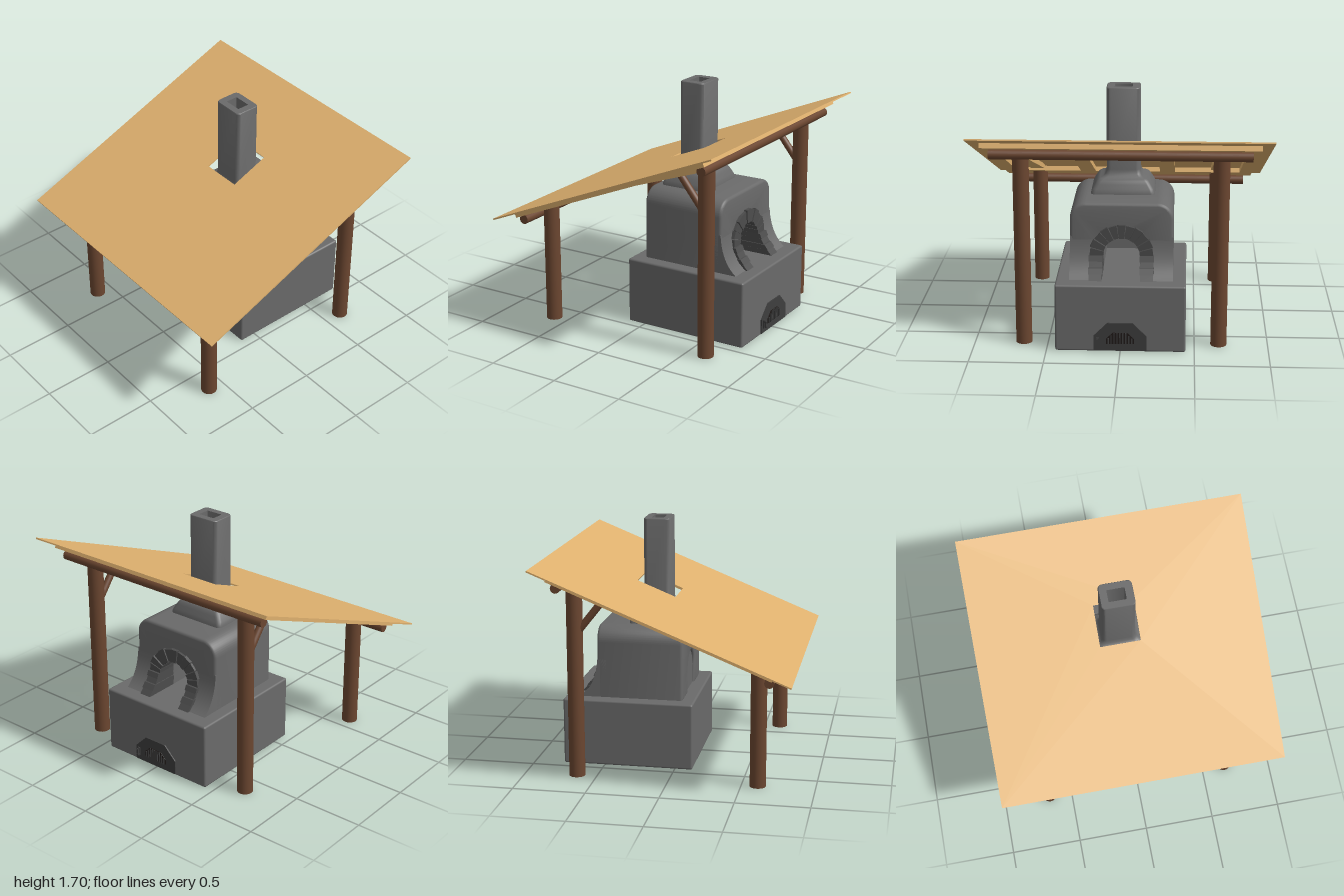
import * as THREE from 'three';
import { toCreasedNormals } from 'three/addons/utils/BufferGeometryUtils.js';
import { RoundedBoxGeometry } from 'three/addons/geometries/RoundedBoxGeometry.js';

const mat = (color) => new THREE.MeshStandardMaterial({ color });
const plank = mat(0xdeb06e), log = mat(0x6b4630), stone = mat(0x6a6a6a);
const brick = mat(0x4c4c4c), iron = mat(0x3e3e3e), soot = mat(0x1f1917);

const SLOPE = 0.404, PITCH = Math.atan(SLOPE), COS = Math.cos(PITCH), ROOF_Y = 1.1425;
const frameUnderside = (x) => ROOF_Y + SLOPE * x - 0.046;

function add(parent, name, geo, material, x = 0, y = 0, z = 0) {
  const m = new THREE.Mesh(geo, material);
  m.name = name;
  m.position.set(x, y, z);
  parent.add(m);
  return m;
}
const box = (w, h, d) => new THREE.BoxGeometry(w, h, d);
const polygon = (pts) => new THREE.Shape(pts.map(([x, y]) => new THREE.Vector2(x, y)));
const extrude = (shape, depth) =>
  new THREE.ExtrudeGeometry(shape, { depth, bevelEnabled: false, curveSegments: 12 });
const rect = (x0, x1, y0, y1) => [[x0, y0], [x1, y0], [x1, y1], [x0, y1]];

// Sloping board lying in x/z, given in plan coordinates, with rectangular holes
function board(outer, holes, thick) {
  const onSlope = (r) => polygon(r.map(([x, z]) => [x / COS, z]));
  const s = onSlope(outer);
  s.holes = holes.map(onSlope);
  return extrude(s, thick).rotateX(Math.PI / 2);
}

// Round bar between two points in a plane of constant z
function bar(x0, y0, x1, y1, r) {
  const dx = x1 - x0, dy = y1 - y0;
  return new THREE.CylinderGeometry(r, r, Math.hypot(dx, dy), 20)
    .rotateZ(Math.atan2(dy, dx) - Math.PI / 2).translate((x0 + x1) / 2, (y0 + y1) / 2, 0);
}

// Skin through rounded rectangles [y, halfX, halfZ, cornerRadius]
function loft(rings) {
  const pos = [], idx = [], n = 20;
  for (const [y, hx, hz, r] of rings)
    for (let c = 0; c < 4; c++)
      for (let k = 0; k < 5; k++) {
        const a = (c + k / 4) * Math.PI / 2;
        const sx = c === 0 || c === 3 ? 1 : -1, sz = c < 2 ? 1 : -1;
        pos.push(sx * (hx - r) + r * Math.cos(a), y, sz * (hz - r) + r * Math.sin(a));
      }
  for (let i = 0; i < rings.length - 1; i++)
    for (let j = 0; j < n; j++) {
      const a = i * n + j, b = i * n + (j + 1) % n;
      idx.push(a, a + n, b, b, a + n, b + n);
    }
  const g = new THREE.BufferGeometry();
  g.setAttribute('position', new THREE.Float32BufferAttribute(pos, 3));
  g.setIndex(idx);
  return toCreasedNormals(g, 0.7);
}

function buildRoof() {
  const roof = new THREE.Group();
  roof.name = 'roof';
  roof.position.y = ROOF_Y;
  roof.rotation.z = PITCH;
  const flueHole = rect(0.045, 0.315, -0.143, 0.143);
  add(roof, 'roofBoard', board(rect(-0.862, 0.862, -1, 1), [flueHole], 0.01), plank);
  const bays = [[-0.83, -0.35], [-0.24, 0.24], [0.35, 0.83]];
  add(roof, 'rafterFrame', board(rect(-0.74, 0.75, -0.92, 0.92),
    bays.map(([a, b]) => rect(-0.53, 0.53, a, b)), 0.034), plank, 0, -0.01);
  return roof;
}

function buildTimbers() {
  const timbers = new THREE.Group();
  timbers.name = 'timbers';
  for (const z of [-0.665, 0.665]) {
    for (const [name, x] of [['highPost', 0.637], ['lowPost', -0.612]]) {
      // post tops are cut to the roof pitch
      const g = new THREE.CylinderGeometry(0.055, 0.055, 1, 24).translate(x, 0.5, 0);
      const p = g.attributes.position;
      for (let i = 0; i < p.count; i++)
        if (p.getY(i) > 0.5) p.setY(i, frameUnderside(p.getX(i)) + 0.004);
      add(timbers, name, g, log, 0, 0, z);
    }
    add(timbers, 'brace', bar(0.62, 1.01, 0.41, 1.275, 0.025), log, 0, 0, z);
    const tie = box(1.07 / Math.cos(0.334), 0.034, 0.1).rotateZ(0.334);
    add(timbers, 'tieBeam', tie, plank, 0.085, 1.125, z);
  }
  for (const [name, x, y] of [['highPurlin', 0.712, 1.35], ['lowPurlin', -0.702, 0.778]])
    add(timbers, name, new THREE.CylinderGeometry(0.033, 0.033, 1.73, 24).rotateX(Math.PI / 2),
      log, x, y, 0);
  return timbers;
}

function buildOven() {
  const oven = new THREE.Group();
  oven.name = 'oven';
  add(oven, 'base', new RoundedBoxGeometry(0.915, 0.47, 0.88, 3, 0.014), stone, 0.3325, 0.235);
  add(oven, 'ashPit', box(0.26, 0.01, 0.8), soot, 0.58, 0.004);

  // Vaulted body with an arched mouth
  const R = 0.11, arcY = 0.61, inner = 0.13;
  const body = new THREE.Shape();
  body.moveTo(-0.35, 0.46).lineTo(-inner, 0.46).lineTo(-inner, arcY);
  body.absarc(0, arcY, inner, Math.PI, 0, true);
  body.lineTo(inner, 0.46).lineTo(0.35, 0.46).lineTo(0.35, 0.975 - R);
  body.absarc(0.35 - R, 0.975 - R, R, 0, Math.PI / 2, false);
  body.absarc(-0.35 + R, 0.975 - R, R, Math.PI / 2, Math.PI, false);
  body.closePath();
  const bev = 0.02;
  const shell = new THREE.ExtrudeGeometry(body, { depth: 0.565, curveSegments: 14,
    bevelThickness: bev, bevelSize: bev, bevelOffset: -bev, bevelSegments: 3 });
  shell.rotateY(Math.PI / 2).translate(-0.02, 0, 0);
  add(oven, 'body', toCreasedNormals(shell, 0.7), stone);
  add(oven, 'backWall', box(0.05, 0.4, 0.36), stone, 0.0, 0.64);

  // Feet sweeping forward on both sides of the mouth
  const foot = new THREE.Shape();
  foot.moveTo(0.5, 0.465).lineTo(0.69, 0.465).quadraticCurveTo(0.575, 0.55, 0.563, 0.74);
  foot.lineTo(0.5, 0.74).closePath();
  for (const z of [inner, -0.35])
    add(oven, 'frontFoot', toCreasedNormals(extrude(foot, 0.22), 0.6), stone, 0, 0, z);

  // Stone surround: stacked jambs and a ring of wedges
  const front = (y) => 0.583 + 0.118 * Math.pow(Math.max(0, (0.72 - y) / 0.25), 2.2);
  for (const side of [-1, 1])
    for (let i = 0; i < 4; i++) {
      const y0 = 0.47 + i * 0.037, y1 = y0 + 0.035, out = i % 2 ? 0.008 : 0;
      const jamb = polygon([[0.45, y0], [front(y0) + out, y0], [front(y1) + out, y1], [0.45, y1]]);
      add(oven, 'jambStone', extrude(jamb, 0.088 + out).translate(0, 0, -0.044 - out / 2),
        brick, 0, 0, side * 0.173);
    }
  const count = 11;
  for (let i = 0; i < count; i++) {
    const a0 = Math.PI * (i + 0.04) / count, a1 = Math.PI * (i + 0.96) / count;
    const out = i % 2 ? 0.006 : 0;
    const at = (r, a) => [r * Math.cos(a), arcY + r * Math.sin(a)];
    const wedge = polygon([at(0.126, a0), at(0.217 + out, a0), at(0.217 + out, a1), at(0.126, a1)]);
    const tip = front(arcY + 0.17 * Math.sin((a0 + a1) / 2)) + out;
    add(oven, 'archStone', extrude(wedge, tip - 0.45).rotateY(Math.PI / 2), brick, 0.45);
  }

  // Hood and hollow chimney in one sweep
  add(oven, 'chimney', loft([
    [0.965, 0.178, 0.22, 0.03], [0.985, 0.177, 0.219, 0.03], [1.01, 0.168, 0.209, 0.03],
    [1.04, 0.156, 0.191, 0.03], [1.062, 0.147, 0.177, 0.03], [1.075, 0.134, 0.16, 0.03],
    [1.082, 0.112, 0.137, 0.03], [1.1, 0.099, 0.122, 0.03], [1.13, 0.0925, 0.115, 0.03],
    [1.697, 0.0925, 0.115, 0.03], [1.702, 0.089, 0.111, 0.028],
    [1.702, 0.043, 0.061, 0.004], [1.4, 0.043, 0.061, 0.004],
  ]), stone, 0.186);
  add(oven, 'flueBottom', box(0.09, 0.01, 0.125), soot, 0.186, 1.4);
  return oven;
}

function buildFireDoor() {
  const door = new THREE.Group();
  door.name = 'fireDoor';
  door.position.x = 0.785;
  const panel = (w, y0, y1, top, h, depth) => extrude(polygon(
    [[-w, y0], [w, y0], [w, y1], [top, h], [-top, h], [-w, y1]]), depth).rotateY(Math.PI / 2);
  add(door, 'doorPlate', panel(0.178, 0.012, 0.115, 0.085, 0.208, 0.014), iron);
  add(door, 'doorOpening', panel(0.095, 0.06, 0.095, 0.05, 0.14, 0.017), soot);
  for (let i = -4; i <= 4; i++) {
    const h = 0.078 - Math.max(0, Math.abs(i) - 2) * 0.018;
    add(door, 'grateBar', box(0.012, h, 0.009), iron, 0.018, 0.061 + h / 2, i * 0.02);
  }
  add(door, 'latchPlate', box(0.012, 0.06, 0.02), iron, 0.018, 0.078, 0.15);
  for (const y of [0.06, 0.094])
    add(door, 'latchStud', box(0.03, 0.012, 0.014), iron, 0.024, y, 0.15);
  add(door, 'latchHandle', box(0.008, 0.05, 0.014), iron, 0.032, 0.077, 0.15);
  return door;
}

export function createModel() {
  const model = new THREE.Group();
  model.name = 'shelteredOven';
  model.add(buildRoof(), buildTimbers(), buildOven(), buildFireDoor());
  return model;
}
